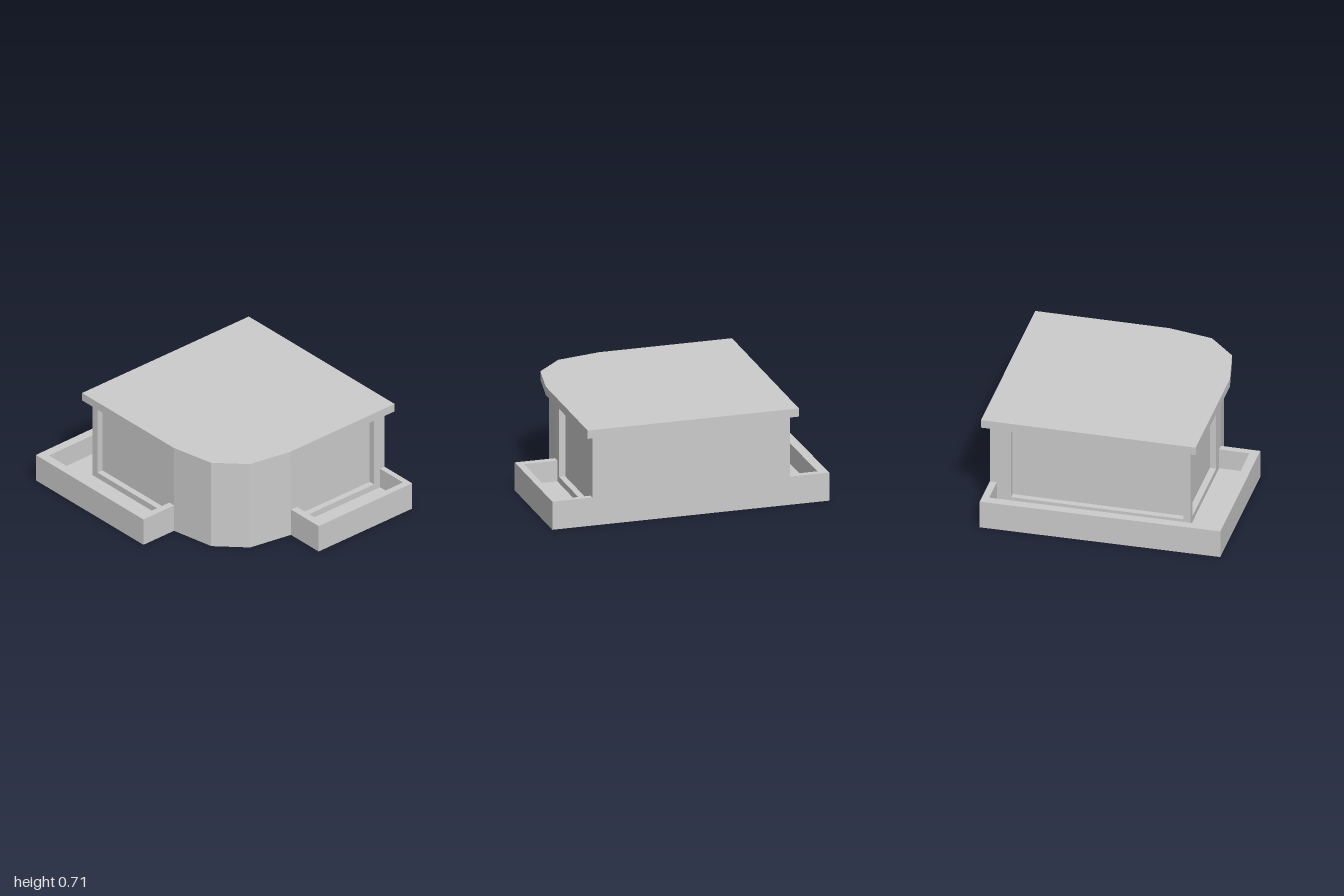
import * as THREE from 'three';

const WALL_TOP = 0.655, ROOF_TOP = 0.715, RIM = 0.205, FLOOR = 0.055;
const SILL = 0.1, LINTEL = 0.62, RECESS = 0.045;

const material = new THREE.MeshStandardMaterial({
  color: 0xcccccc, flatShading: true, side: THREE.DoubleSide,
});

function addMesh(parent, name, geometry) {
  const mesh = new THREE.Mesh(geometry, material);
  mesh.name = name;
  parent.add(mesh);
  return mesh;
}

// Horizontal surface from [x, z] points
function flat(points, y) {
  const shape = new THREE.Shape(points.map(([x, z]) => new THREE.Vector2(x, -z)));
  return new THREE.ShapeGeometry(shape).rotateX(-Math.PI / 2).translate(0, y, 0);
}

// Skin of quads between two rows of [x, y, z] points
function skin(lower, upper) {
  const v = [];
  for (let i = 0; i < lower.length - 1; i++) {
    const [a, b, c, d] = [lower[i], lower[i + 1], upper[i + 1], upper[i]];
    v.push(...a, ...b, ...c, ...a, ...c, ...d);
  }
  const g = new THREE.BufferGeometry();
  g.setAttribute('position', new THREE.Float32BufferAttribute(v, 3));
  g.computeVertexNormals();
  return g;
}

// Upright skin that follows a path of [x, z] points
const upright = (path, y0, y1) =>
  skin(path.map(([x, z]) => [x, y0, z]), path.map(([x, z]) => [x, y1, z]));

const rectangle = (x0, x1, y0, y1) => [[x0, y0], [x1, y0], [x1, y1], [x0, y1]];
const toVectors = (points) => points.map(([x, y]) => new THREE.Vector2(x, y));

// Wall from a to b with a recessed glass door between u0 and u1 along it
function doorWall(name, a, b, u0, u1) {
  const group = new THREE.Group();
  group.name = name;
  const dx = b[0] - a[0], dz = b[1] - a[1];
  group.position.set(a[0], 0, a[1]);
  group.rotation.y = Math.atan2(-dz, dx);

  const opening = rectangle(u0, u1, SILL, LINTEL);
  const shape = new THREE.Shape(toVectors(rectangle(0, Math.hypot(dx, dz), FLOOR, WALL_TOP)));
  shape.holes.push(new THREE.Path(toVectors(opening)));
  addMesh(group, 'wallPanel', new THREE.ShapeGeometry(shape));

  const loop = [...opening, opening[0]];
  addMesh(group, 'doorReveal', skin(
    loop.map(([x, y]) => [x, y, 0]), loop.map(([x, y]) => [x, y, -RECESS])));
  addMesh(group, 'doorPane',
    new THREE.ShapeGeometry(new THREE.Shape(toVectors(opening))).translate(0, 0, -RECESS));
  return group;
}

// Hollow parapet around a sunken floor, open towards the house
function balcony(name, outer, inner, houseCorners) {
  const group = new THREE.Group();
  group.name = name;
  addMesh(group, 'parapetOutside', upright(outer, 0, RIM));
  addMesh(group, 'parapetInside', upright(inner, FLOOR, RIM));
  addMesh(group, 'parapetRim', flat([...outer, ...[...inner].reverse()], RIM));
  addMesh(group, 'balconyFloor', flat([...inner, ...houseCorners], FLOOR));
  return group;
}

export function createModel() {
  const model = new THREE.Group();
  model.name = 'house';

  // Faceted corner and back wall
  const curve = [[0.14, 0.595], [0.46, 0.535], [0.65, 0.345], [0.71, 0.025]];
  const backRight = [0.71, -0.83], backLeft = [-0.715, -0.83], frontLeft = [-0.715, 0.595];
  addMesh(model, 'facetedCornerWall', upright(curve, 0, WALL_TOP));
  addMesh(model, 'backWall', upright([backRight, backLeft], 0, WALL_TOP));

  // Walls with sliding doors
  model.add(
    doorWall('frontWall', frontLeft, curve[0], 0.055, 0.72),
    doorWall('sideWall', curve[3], backRight, 0.095, 0.76),
    doorWall('longSideWall', backLeft, frontLeft, 0.15, 1.375),
  );

  // Wraparound balcony and small side balcony
  model.add(balcony('cornerBalcony',
    [backLeft, [-1, -0.83], [-0.985, 0.875], [0.14, 0.875], [0.14, 0.595]],
    [[-0.715, -0.78], [-0.93, -0.78], [-0.92, 0.81], [0.09, 0.81], [0.09, 0.595]],
    [frontLeft]));
  model.add(balcony('sideBalcony',
    [[0.71, 0.025], [1, 0.025], [1, -0.83], backRight],
    [[0.71, -0.03], [0.95, -0.03], [0.95, -0.79], [0.71, -0.79]],
    []));

  // Overhanging roof slab
  const roof = [[-0.765, -0.88], [-0.765, 0.645], [0.195, 0.645], [0.51, 0.58],
    [0.7, 0.39], [0.76, 0.075], [0.76, -0.88]];
  const slab = new THREE.ExtrudeGeometry(
    new THREE.Shape(roof.map(([x, z]) => new THREE.Vector2(x, -z))),
    { depth: ROOF_TOP - WALL_TOP, bevelEnabled: false });
  addMesh(model, 'roof', slab.rotateX(-Math.PI / 2).translate(0, WALL_TOP, 0));

  return model;
}
